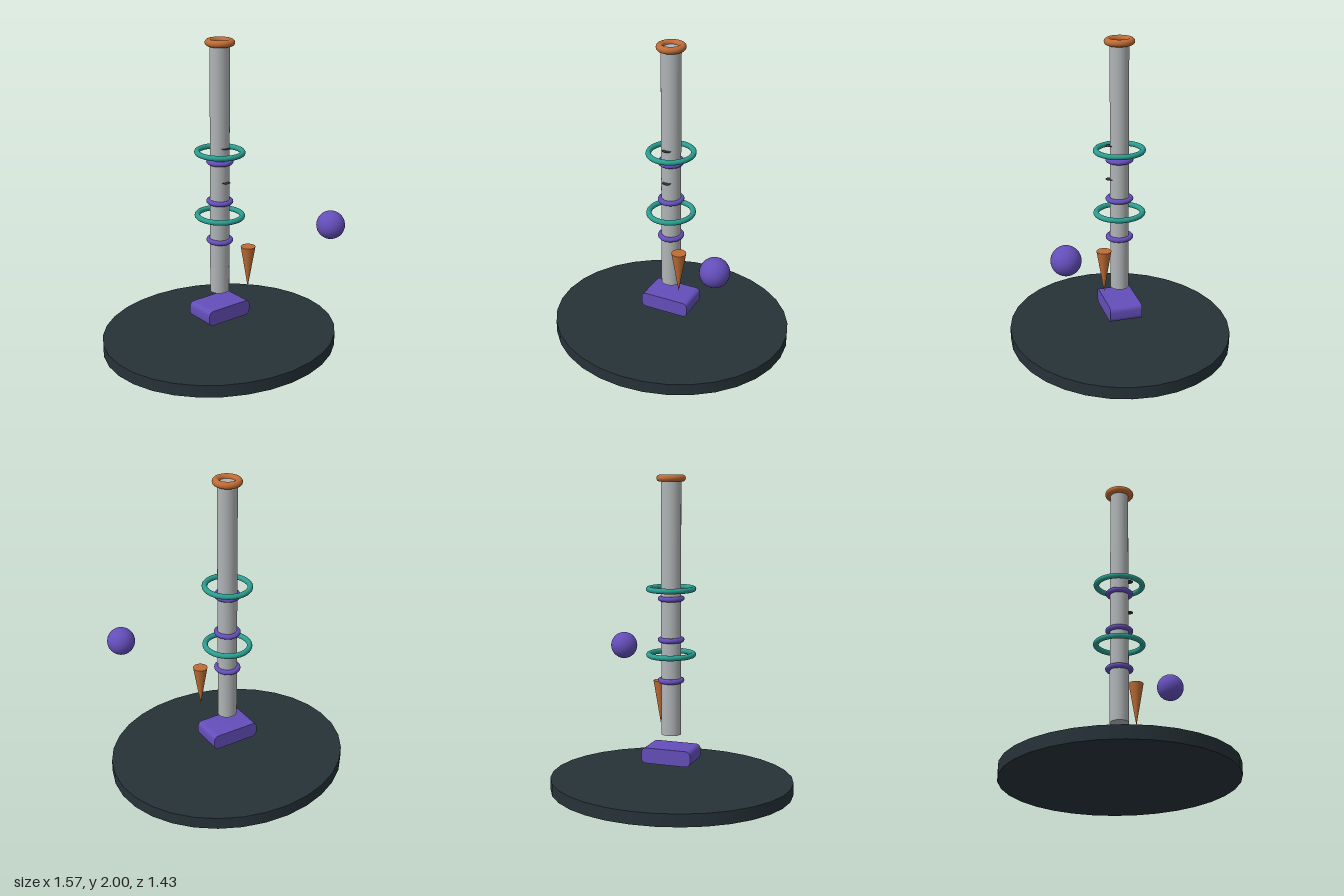
import * as THREE from 'three';
import { toCreasedNormals } from 'three/addons/utils/BufferGeometryUtils.js';

export function createModel() {
  const root = new THREE.Group();
  const material = (name, color, side = THREE.FrontSide) => {
    const m = new THREE.MeshStandardMaterial({ color, side });
    m.name = name;
    return m;
  };
  const slate = material('dark slate', 0x263238, THREE.DoubleSide);
  const grey = material('light grey', 0xb0b4b6);
  const purple = material('purple', 0x644eba);
  const teal = material('teal', 0x2a9d8f);
  const copper = material('copper', 0xbf6c35);

  const add = (name, geometry, mat, x, y, z) => {
    const mesh = new THREE.Mesh(geometry, mat);
    mesh.name = name;
    mesh.position.set(x, y, z);
    root.add(mesh);
    return mesh;
  };

  // Horizontal ring, slightly oval; rx and rz are its outer half widths
  const ring = (name, mat, y, rx, rz, tube) => {
    const g = new THREE.TorusGeometry(1, 1, 1, 3).dispose() || new THREE.TorusGeometry(rx - tube, tube, 14, 48);
    g.rotateX(Math.PI / 2);
    g.scale(1, 1, rz / rx);
    add(name, g, mat, 0, y, 0);
  };

  // Oval base plate
  add('basePlate', new THREE.CylinderGeometry(1, 1, 0.08, 32).scale(0.785, 1, 0.714), slate, 0, 0.04, 0);

  // Floating block with corners rounded in the front outline
  const w = 0.163, h = 0.05, r = 0.035;
  const outline = new THREE.Shape();
  outline.moveTo(-w + r, -h);
  outline.lineTo(w - r, -h);
  outline.quadraticCurveTo(w, -h, w, -h + r);
  outline.lineTo(w, h - r);
  outline.quadraticCurveTo(w, h, w - r, h);
  outline.lineTo(-w + r, h);
  outline.quadraticCurveTo(-w, h, -w, h - r);
  outline.lineTo(-w, -h + r);
  outline.quadraticCurveTo(-w, -h, -w + r, -h);
  const block = new THREE.ExtrudeGeometry(outline, { depth: 0.21, bevelEnabled: false, curveSegments: 8 });
  block.translate(0, 0, -0.105);
  add('block', toCreasedNormals(block, 0.6), purple, 0, 0.237, 0);

  // Upright pole
  add('pole', new THREE.CylinderGeometry(0.063, 0.063, 1.612, 32).scale(1, 1, 0.93), grey, 0, 1.171, 0);

  // Rings around the pole
  ring('topRing', copper, 1.978, 0.09, 0.094, 0.022);
  for (const y of [1.295, 0.88]) ring('wideRing', teal, y, 0.156, 0.165, 0.017);
  for (const y of [1.235, 0.975, 0.715]) ring('narrowRing', purple, y, 0.083, 0.088, 0.016);

  // Thin discs let into the front of the pole
  for (const y of [1.33, 1.11]) {
    add('frontDisc', new THREE.CircleGeometry(0.028, 20).rotateX(-Math.PI / 2), slate, 0, y, 0.062);
  }

  // Inverted cone and floating ball
  add('cone', new THREE.ConeGeometry(0.047, 0.28, 24).rotateX(Math.PI), copper, 0.122, 0.54, 0.136);
  add('ball', new THREE.SphereGeometry(0.09, 32, 20), purple, 0.517, 0.835, 0.47);

  return root;
}
